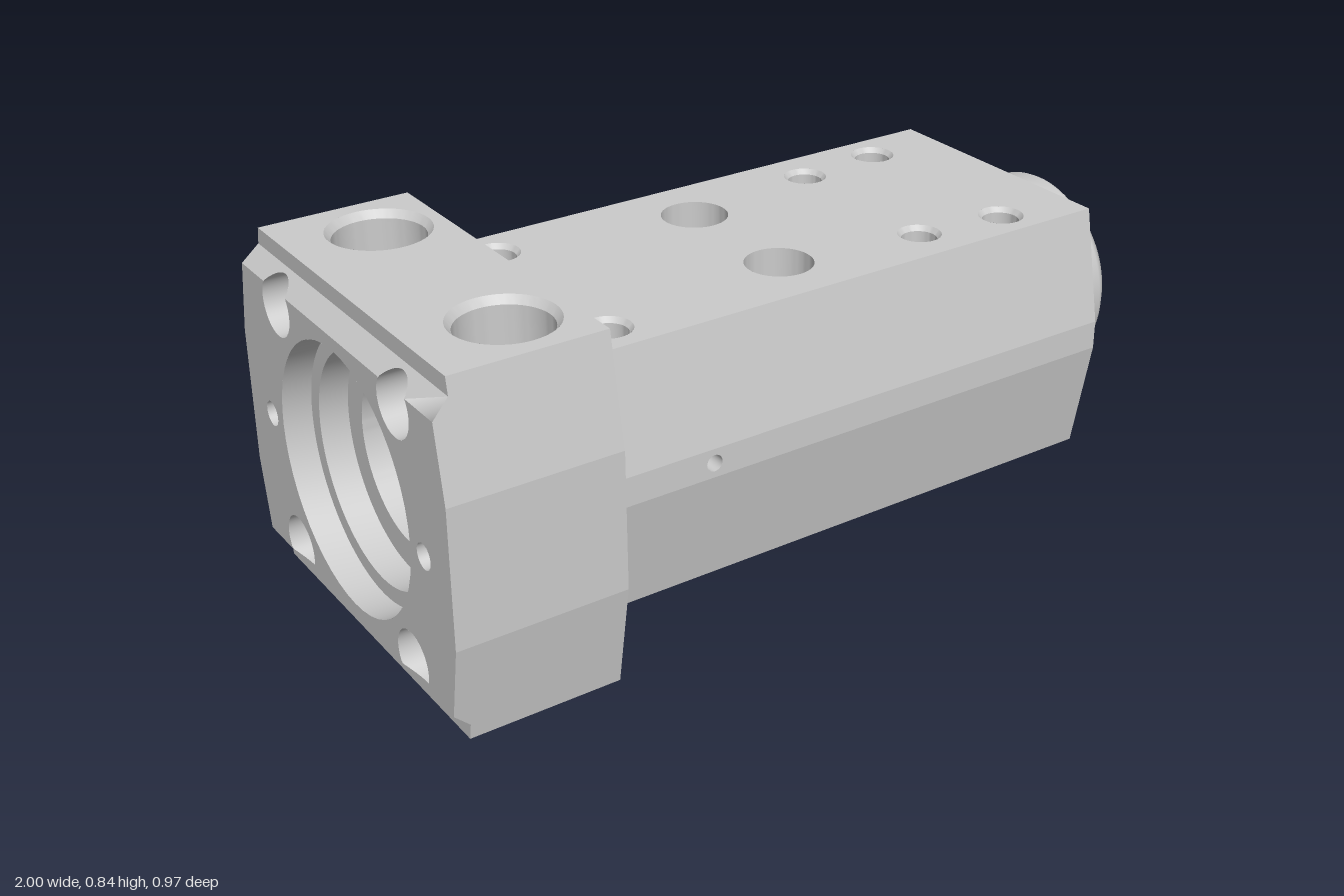
import * as THREE from 'three';
import { toCreasedNormals } from 'three/addons/utils/BufferGeometryUtils.js';

const mat = new THREE.MeshStandardMaterial({ color: 0xcccccc, side: THREE.DoubleSide });
const V = (x, y) => new THREE.Vector2(x, y);

// Heights below are measured from the bore axis, which lies AXIS above the ground.
const AXIS = 0.42, X0 = -1, XF = -0.595, X1 = 0.81, BORE = 0.2;
// w / flat: half width and half height of the vertical flank; tw / h: half width and height at the top
const FLANGE = { w: 0.485, flat: 0.165, tw: 0.44, h: 0.42 };
const BODY = { w: 0.388, flat: 0.035, tw: 0.335, h: 0.313 };
const CORNER = { z: 0.28, y: 0.3, r: 0.07 }, EDGE = 0.34;
const THROUGH = { x: 0.015, z: 0.17, r: 0.08 };
const PORTS = [0.5, -0.31], PORT_R = 0.05;

const halfWidth = (s, y) => {
  const t = Math.max(0, (Math.abs(y) - s.flat) / (s.h - s.flat));
  return s.w + (s.tw - s.w) * t;
};

function poly(points, holes = []) {
  const shape = new THREE.Shape(points.map(p => V(...p)));
  for (const [u, v, r] of holes) shape.holes.push(new THREE.Path().absarc(u, v, r, 0, Math.PI * 2, true));
  return shape;
}

const rect = (a, b, c, d, holes) => poly([[a, c], [b, c], [b, d], [a, d]], holes);

const outline = s => [[-s.tw, -s.h], [s.tw, -s.h], [s.w, -s.flat], [s.w, s.flat],
  [s.tw, s.h], [-s.tw, s.h], [-s.w, s.flat], [-s.w, -s.flat]];

// Places a flat shape in space by a rule and turns it towards "out"
function panel(group, name, shape, place, out) {
  const geo = new THREE.ShapeGeometry(shape, 24);
  const p = geo.attributes.position;
  for (let i = 0; i < p.count; i++) p.setXYZ(i, ...place(p.getX(i), p.getY(i)));
  geo.computeVertexNormals();
  const n = new THREE.Vector3().fromBufferAttribute(geo.attributes.normal, 0);
  if (n.dot(new THREE.Vector3(...out)) < 0) {
    geo.index.array.reverse();
    geo.computeVertexNormals();
  }
  return add(group, name, geo);
}

function add(group, name, geo) {
  const mesh = new THREE.Mesh(geo, mat);
  mesh.name = name;
  group.add(mesh);
  return mesh;
}

// Removes triangles that touch a region, leaving an opening
function carve(geo, inside) {
  const src = geo.toNonIndexed().attributes.position, kept = [];
  for (let i = 0; i < src.count; i += 3) {
    const tri = [0, 1, 2].map(k => new THREE.Vector3().fromBufferAttribute(src, i + k));
    if (!tri.some(inside)) tri.forEach(v => kept.push(v.x, v.y, v.z));
  }
  return new THREE.BufferGeometry().setAttribute('position', new THREE.Float32BufferAttribute(kept, 3));
}

// Turned surface; profile points are [radius, position along the axis]
const turned = (profile, seg = 64) => new THREE.LatheGeometry(profile.map(p => V(...p)), seg);
const turnedX = (profile, seg) => turned(profile, seg).rotateZ(-Math.PI / 2);
const steps = (r, a, b, n) => Array.from({ length: n + 1 }, (_, i) => [r, a + (b - a) * i / n]);

// Flat flanks on both sides of a section; "front" is the x of the first edge
function flanks(group, name, s, xa, xb, upper, holes) {
  for (const sz of [-1, 1]) {
    const place = (x, y) => [x, y, sz * halfWidth(s, y)];
    const own = holes.filter(h => h.side === sz);
    panel(group, name, rect(xa, xb, -s.flat, s.flat, own.map(h => [h.x, 0, h.r])), place, [0, 0, sz]);
    for (const sy of [-1, 1]) {
      panel(group, name, poly(upper.map(([x, y]) => [x, sy * y])), place, [0, 0, sz]);
    }
    for (const h of own) {
      const hole = add(group, 'sideHole', turned([[h.r, 0], [h.r, -0.1], [0, -0.11]], 24).rotateX(sz * Math.PI / 2));
      hole.position.set(h.x, 0, sz * s.w);
    }
  }
}

function buildFlange() {
  const g = new THREE.Group();
  g.name = 'flange';
  const { h } = FLANGE, xs = -0.96, top = EDGE + 0.04;
  const a = Math.asin((EDGE - CORNER.y) / CORNER.r);
  const wE = halfWidth(FLANGE, EDGE), wT = halfWidth(FLANGE, top);

  flanks(g, 'flangeSide', FLANGE, X0, XF,
    [[X0, 0.165], [XF, 0.165], [XF, h], [xs, h], [xs, top], [X0, EDGE]], [{ side: -1, x: -0.84, r: 0.02 }]);

  // End face, notched where the corner holes break its upper and lower edges
  const face = new THREE.Shape();
  face.moveTo(FLANGE.w, -0.165);
  face.lineTo(FLANGE.w, 0.165);
  face.lineTo(wE, EDGE);
  for (const s of [1, -1]) face.absarc(s * CORNER.z, CORNER.y, CORNER.r, a, Math.PI - a, true);
  face.lineTo(-wE, EDGE);
  face.lineTo(-FLANGE.w, 0.165);
  face.lineTo(-FLANGE.w, -0.165);
  face.lineTo(-wE, -EDGE);
  for (const s of [-1, 1]) face.absarc(s * CORNER.z, -CORNER.y, CORNER.r, Math.PI + a, -a, true);
  face.lineTo(wE, -EDGE);
  face.closePath();
  for (const [z, r] of [[0, 0.31], [0.37, 0.03], [-0.37, 0.03]]) {
    face.holes.push(new THREE.Path().absarc(z, 0, r, 0, Math.PI * 2, true));
  }
  panel(g, 'endFace', face, (z, y) => [X0, y, z], [-1, 0, 0]);

  for (const sy of [1, -1]) {
    // Chamfer and step along the end face
    const strip = new THREE.Shape();
    strip.moveTo(wE, EDGE);
    for (const s of [1, -1]) strip.absarc(s * CORNER.z, CORNER.y, CORNER.r, a, Math.PI - a, false);
    strip.lineTo(-wE, EDGE);
    strip.lineTo(-wT, top);
    strip.lineTo(wT, top);
    panel(g, 'endChamfer', strip, (z, y) => [X0 + y - EDGE, sy * y, z], [-1, sy, 0]);
    panel(g, 'endStep', poly([[-wT, top], [wT, top], [0.44, h], [-0.44, h]]),
      (z, y) => [xs, sy * y, z], [-1, 0, 0]);

    // Top and bottom with two deep bolt pockets each
    const pockets = [-1, 1].map(s => [-0.745, s * CORNER.z, 0.12]);
    panel(g, 'flangeTop', rect(xs, XF, -0.44, 0.44, pockets), (x, z) => [x, sy * h, z], [0, sy, 0]);
    for (const [x, z] of pockets) {
      const wall = carve(turned([[0.12, h], [0.106, h - 0.018], ...steps(0.106, h - 0.02, 0.18, 24), [0, 0.18]], 72),
        p => p.x < 0 && Math.hypot(p.z, p.y - CORNER.y) < CORNER.r);
      const pocket = add(g, 'boltPocket', toCreasedNormals(wall, 0.5));
      pocket.scale.y = sy;
      pocket.position.set(x, 0, z);

      // Corner hole running from the end face into the pocket
      const tube = turnedX([[CORNER.r, X0], [CORNER.r, -0.845]], 48).translate(0, sy * CORNER.y, z);
      const p = tube.attributes.position;
      for (let i = 0; i < p.count; i++) {
        p.setX(i, Math.max(p.getX(i), X0 + Math.max(0, Math.abs(p.getY(i)) - EDGE)));
      }
      add(g, 'cornerHole', tube);
    }
    add(g, 'pinHole', turnedX([[0.03, X0], [0.03, -0.9], [0, -0.89]], 32)).position.z = sy * 0.37;
  }
  panel(g, 'flangeBack', poly(outline(FLANGE), [[0, 0, 0.25]]), (z, y) => [XF, y, z], [1, 0, 0]);
  return g;
}

function buildBody() {
  const g = new THREE.Group();
  g.name = 'body';
  const { h, tw, flat } = BODY;
  flanks(g, 'bodySide', BODY, XF, X1, [[XF, flat], [X1, flat], [X1, h], [XF, h]], [{ side: 1, x: -0.31, r: 0.02 }]);
  panel(g, 'bodyEnd', poly(outline(BODY), [[0, 0, BORE]]), (z, y) => [X1, y, z], [1, 0, 0]);

  const blind = [[-0.48, 0.24, 0.056], [0.38, 0.222, 0.052], [0.61, 0.245, 0.054]]
    .flatMap(([x, z, r]) => [[x, z, r], [x, -z, r]]);
  const through = [-1, 1].map(s => [THROUGH.x, s * THROUGH.z, THROUGH.r]);
  const ports = PORTS.map(x => [x, 0, PORT_R]);
  for (const sy of [1, -1]) {
    const holes = [...blind, ...through, ...(sy < 0 ? ports : [])];
    panel(g, 'bodyTop', rect(XF, X1, -tw, tw, holes), (x, z) => [x, sy * h, z], [0, sy, 0]);
    for (const [x, z, r] of blind) {
      const hole = add(g, 'screwHole', toCreasedNormals(
        turned([[r, h], [r - 0.01, h - 0.012], [r - 0.01, h - 0.12], [0, h - 0.14]], 40), 0.5));
      hole.scale.y = sy;
      hole.position.set(x, 0, z);
    }
    // Root strip where the body meets the flange
    const wedge = new THREE.ExtrudeGeometry(
      poly([[XF, h - 0.01], [-0.565, h - 0.01], [-0.572, h + 0.02], [-0.58, h + 0.035], [XF, h + 0.038]]),
      { depth: 0.654, bevelEnabled: false }).translate(0, 0, -0.327);
    if (sy < 0) wedge.rotateX(Math.PI);
    add(g, 'rootStrip', wedge);
  }
  for (const [x, z, r] of through) {
    const wall = carve(turned(steps(r, h, -h, 60), 64), p => Math.hypot(p.y, p.z + z) < BORE - 0.008);
    add(g, 'throughHole', toCreasedNormals(wall, 0.5)).position.set(x, 0, z);
  }
  for (const [x, , r] of ports) add(g, 'port', turned([[r, -h], [r, -0.19]], 40)).position.x = x;
  return g;
}

export function createModel() {
  const model = new THREE.Group();
  const core = new THREE.Group();
  core.name = 'housing';
  core.position.y = AXIS;
  model.add(core);
  core.add(buildFlange(), buildBody());

  // Counterbore steps at the flange end
  add(core, 'counterbore', toCreasedNormals(
    turnedX([[0.31, X0], [0.31, -0.93], [0.27, -0.93], [0.27, -0.86], [BORE, -0.86]], 72), 0.5));

  // Main bore, opened where the vertical holes cross it
  const crossed = p => Math.hypot(p.x - THROUGH.x, Math.abs(p.z) - THROUGH.z) < THROUGH.r
    || (p.y < 0 && PORTS.some(x => Math.hypot(p.x - x, p.z) < PORT_R));
  add(core, 'mainBore', toCreasedNormals(carve(turnedX(steps(BORE, -0.86, 0.72, 130), 128), crossed), 0.5));

  // Round nose with its neck, rounded mouth and inner lip
  add(core, 'nose', toCreasedNormals(turnedX([
    [0.21, X1], [0.21, 0.835], [0.218, 0.848], [0.235, 0.855], [0.25, 0.856], [0.255, 0.862],
    [0.255, 0.955], [0.25, 0.966], [0.222, 0.996], [0.212, 1], [0.195, 1], [0.178, 0.994], [0.165, 0.983],
    [0.157, 0.965], [0.155, 0.945], [0.146, 0.945], [0.146, 0.9], [0.138, 0.9], [0.138, 0.87],
    [0.12, 0.86], [0.12, 0.8], [0.14, 0.8], [0.14, 0.72], [BORE, 0.72]], 80), 0.6));
  return model;
}
